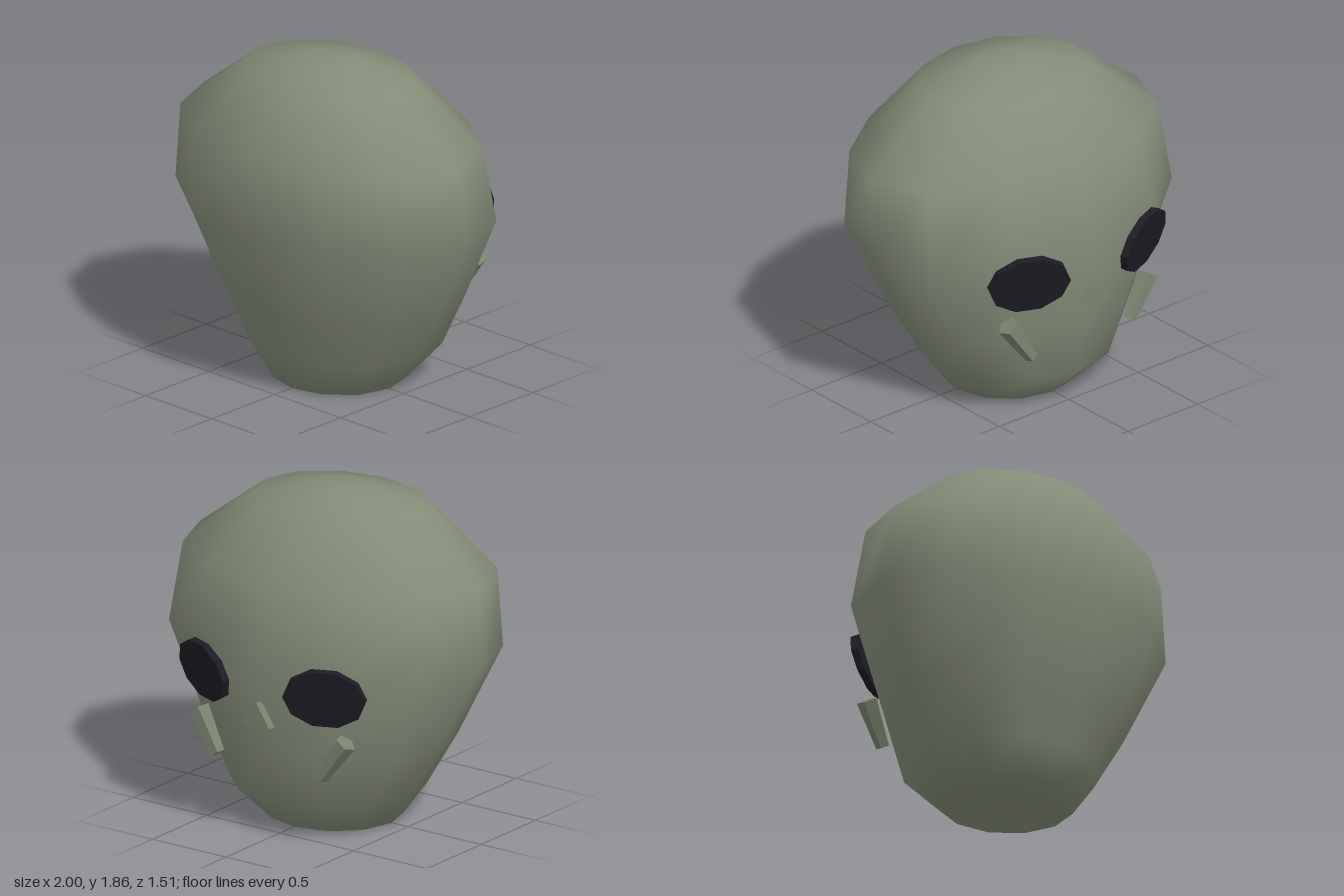
import * as THREE from 'three';

const SIDES = 12;
const skin = new THREE.MeshStandardMaterial({ color: 0x848c78 });
const bone = new THREE.MeshStandardMaterial({ color: 0x7a836f, flatShading: true });
const dark = new THREE.MeshStandardMaterial({ color: 0x1c1c24, flatShading: true });

// Closed skin over elliptical rings: [y, half width, back z, front z]
function loft(rings) {
  const pos = [], index = [];
  for (const [y, rx, back, front] of rings) {
    for (let i = 0; i < SIDES; i++) {
      const a = (i / SIDES) * Math.PI * 2;
      pos.push(rx * Math.sin(a), y, (front + back) / 2 + ((front - back) / 2) * Math.cos(a));
    }
  }
  const last = (rings.length - 1) * SIDES;
  const bottom = rings.length * SIDES, top = bottom + 1;
  for (const [y, , back, front] of [rings[0], rings[rings.length - 1]]) pos.push(0, y, (front + back) / 2);
  for (let i = 0; i < SIDES; i++) {
    const n = (i + 1) % SIDES;
    for (let r = 0; r < last; r += SIDES) {
      index.push(r + i, r + n, r + SIDES + n, r + i, r + SIDES + n, r + SIDES + i);
    }
    index.push(bottom, n, i, top, last + i, last + n);
  }
  const geo = new THREE.BufferGeometry();
  geo.setAttribute('position', new THREE.Float32BufferAttribute(pos, 3));
  geo.setIndex(index);
  geo.computeVertexNormals();
  return geo;
}

export function createModel() {
  const group = new THREE.Group();
  const add = (name, geo, mat) => {
    const mesh = new THREE.Mesh(geo, mat);
    mesh.name = name;
    group.add(mesh);
    return mesh;
  };

  // Head: narrow flat jaw, widest above the eyes, domed crown
  add('head', loft([
    [0, 0.39, -0.37, 0.365],
    [0.2, 0.56, -0.575, 0.46],
    [0.5, 0.74, -0.62, 0.57],
    [1.02, 1.0, -0.72, 0.75],
    [1.46, 0.955, -0.61, 0.715],
    [1.79, 0.52, -0.335, 0.475],
    [1.86, 0.17, -0.075, 0.21],
  ]), skin);

  // Nose: small triangular wedge
  const triangle = new THREE.Shape([
    new THREE.Vector2(-0.09, 0), new THREE.Vector2(0.09, 0), new THREE.Vector2(0, 0.135),
  ]);
  const nose = add('nose', new THREE.ExtrudeGeometry(triangle, { depth: 0.05, bevelEnabled: false }), bone);
  nose.position.set(0, 0.68, -0.722);

  for (const [side, s] of [['left', 1], ['right', -1]]) {
    // Eye socket: thin ten-sided oval plate lying on the face
    const plate = new THREE.CylinderGeometry(1, 1, 0.04, 10, 1, false, Math.PI / 2);
    plate.rotateX(-Math.PI / 2).scale(0.235, 0.178, 1);
    const eye = add(side + 'EyeSocket', plate, dark);
    eye.position.set(s * 0.41, 0.905, -0.645);
    eye.rotation.set(-0.2, -s * 0.4, 0, 'YXZ');

    // Cheekbone: tapered five-sided bar leaning in towards the jaw
    const upper = new THREE.Vector3(s * 0.5, 0.645, -0.573);
    const lower = new THREE.Vector3(s * 0.35, 0.42, -0.597);
    const axis = upper.clone().sub(lower);
    const cheek = add(side + 'Cheekbone', new THREE.CylinderGeometry(0.062, 0.04, axis.length(), 5), bone);
    cheek.position.copy(upper).add(lower).multiplyScalar(0.5);
    cheek.quaternion.setFromUnitVectors(new THREE.Vector3(0, 1, 0), axis.normalize());
  }
  return group;
}
